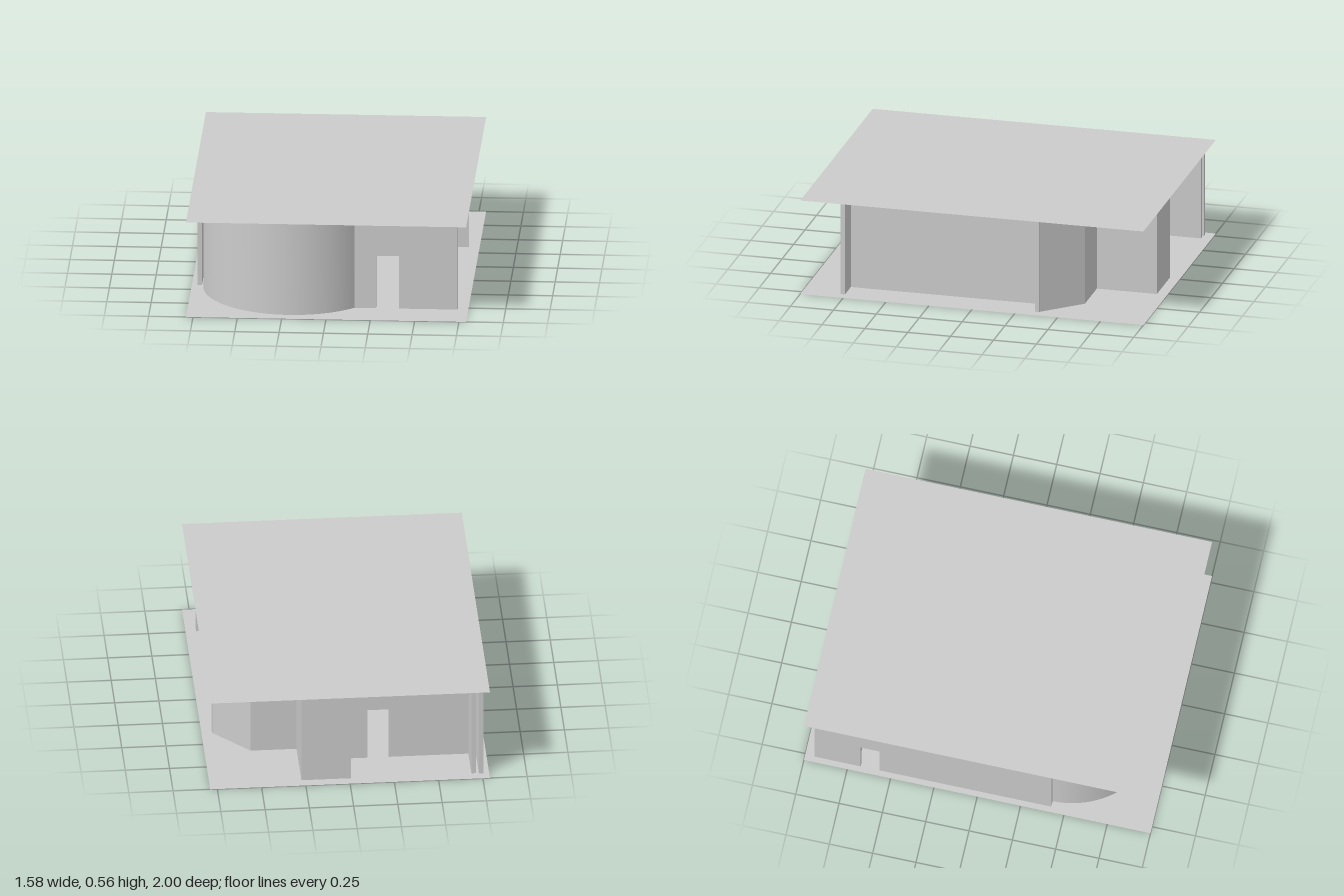
import * as THREE from 'three';
import { toCreasedNormals } from 'three/addons/utils/BufferGeometryUtils.js';

const H = 0.56; // storey height
const T = 0.025; // wall thickness
const DOOR_H = 0.31;

export function createModel() {
  const group = new THREE.Group();
  const material = new THREE.MeshStandardMaterial({ color: 0xcccccc });
  const sheetMaterial = new THREE.MeshStandardMaterial({ color: 0xcccccc, side: THREE.DoubleSide });

  function add(name, geometry, mat = material) {
    const mesh = new THREE.Mesh(geometry, mat);
    mesh.name = name;
    group.add(mesh);
    return mesh;
  }

  // Thin floor and roof sheets
  for (const [name, y] of [['floor', 0], ['roof', H]]) {
    add(name, new THREE.PlaneGeometry(1.58, 2).rotateX(-Math.PI / 2), sheetMaterial).position.y = y;
  }

  // Straight wall along its outer face; the thickness goes to the right-hand
  // (inner) side. door = [start, end] measured along the wall.
  function wall(name, [x0, z0], [x1, z1], door) {
    const length = Math.hypot(x1 - x0, z1 - z0);
    const points = [[0, 0]];
    if (door) points.push([door[0], 0], [door[0], DOOR_H], [door[1], DOOR_H], [door[1], 0]);
    points.push([length, 0], [length, H - 0.001], [0, H - 0.001]);
    const shape = new THREE.Shape(points.map(([x, y]) => new THREE.Vector2(x, y)));
    const mesh = add(name, new THREE.ExtrudeGeometry(shape, { depth: T, bevelEnabled: false }));
    mesh.position.set(x0, 0, z0);
    mesh.rotation.y = Math.atan2(z0 - z1, x1 - x0);
  }

  // Left side, with a short parallel leaf behind the back wall
  wall('rightSideWall', [-0.757, 0.42], [-0.757, -0.945], [0.99, 1.1]);
  wall('rightSideInnerLeaf', [-0.69, -0.94], [-0.69, -0.7]);

  // Stepped back
  wall('backWall', [-0.735, -0.72], [0.015, -0.72], [0.495, 0.615]);
  wall('backBaySide', [-0.01, -0.695], [-0.01, -0.94]);
  wall('backBayWall', [-0.01, -0.94], [0.27, -0.94]);
  wall('backBayOtherSide', [0.27, -0.94], [0.27, -0.565]);
  wall('backRecessWall', [0.27, -0.59], [0.53, -0.59]);
  wall('angledWall', [0.53, -0.59], [0.73, -0.375]);

  // Recessed side between two wing walls, and the front
  wall('wingWall', [0.73, -0.352], [0.575, -0.352]);
  wall('leftSideWall', [0.602, -0.36], [0.602, 0.77]);
  wall('frontWall', [0.73, 0.78], [0.14, 0.78], [0.33, 0.46]);

  // Curved front wall
  const arc = new THREE.Shape();
  const R = 0.51;
  arc.absarc(0, 0, R, Math.PI / 4, Math.PI, false);
  arc.absarc(0, 0, R - T, Math.PI, Math.PI / 4, true);
  arc.closePath();
  const curved = new THREE.ExtrudeGeometry(arc, { depth: H - 0.001, bevelEnabled: false, curveSegments: 32 });
  curved.rotateX(Math.PI / 2).translate(-0.213, H - 0.001, 0.42);
  add('curvedFrontWall', toCreasedNormals(curved, 0.4));

  return group;
}
